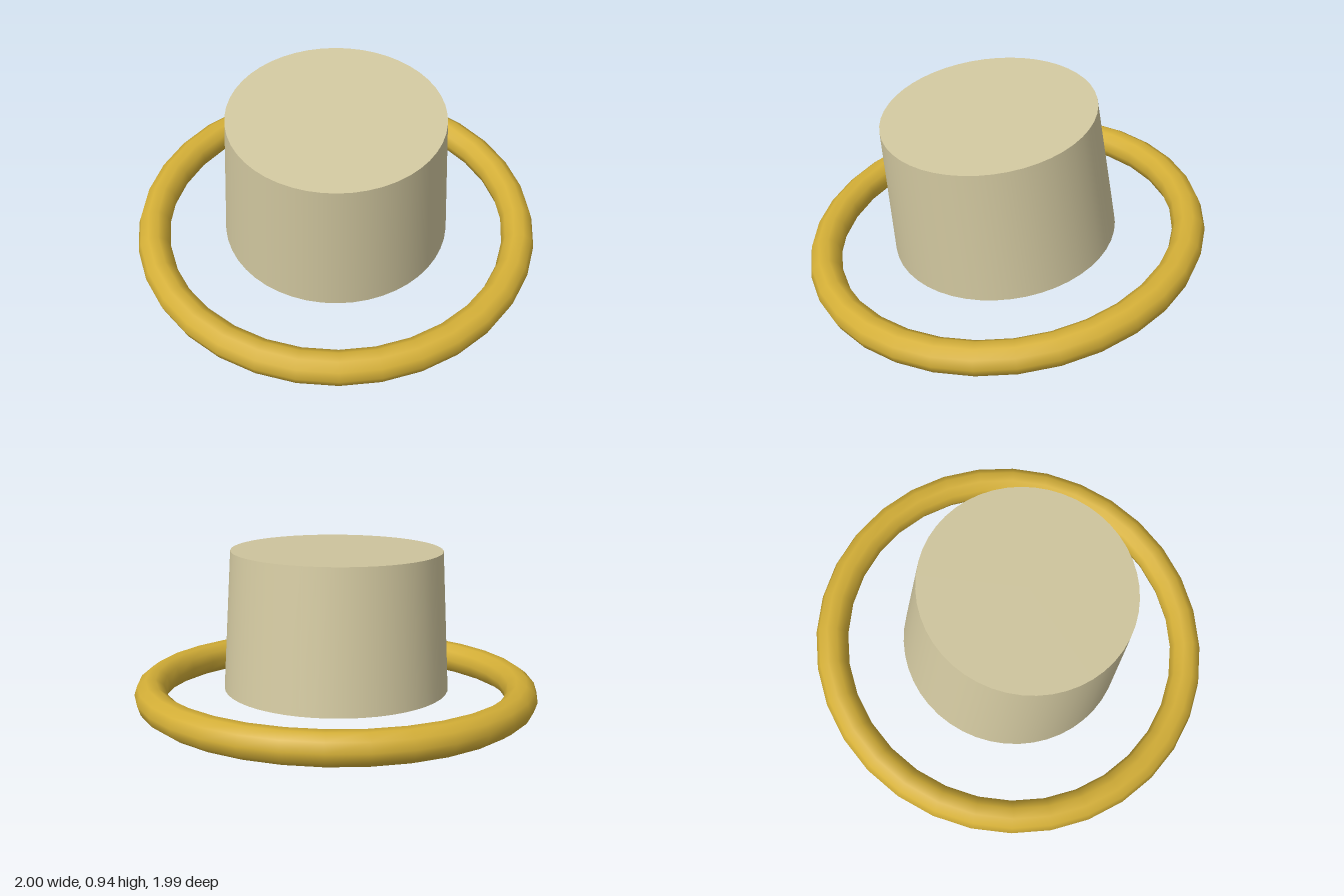
import * as THREE from 'three';

export function createModel() {
  const crownMaterial = new THREE.MeshStandardMaterial({ color: 0xd2c8a0 });
  crownMaterial.name = 'pale khaki';
  const ringMaterial = new THREE.MeshStandardMaterial({ color: 0xd4af37 });
  ringMaterial.name = 'gold';

  // Whole hat leans gently forward
  const hat = new THREE.Group();
  hat.name = 'tiltedHat';
  hat.position.y = 0.184;
  hat.rotation.x = 0.115;

  // Brim ring: ten-sided tube, lying flat
  const ringGeometry = new THREE.TorusGeometry(0.92, 0.08, 10, 32);
  ringGeometry.rotateX(Math.PI / 2);
  const ring = new THREE.Mesh(ringGeometry, ringMaterial);
  ring.name = 'brimRing';
  hat.add(ring);

  // Crown: closed, slightly tapered drum inside the ring
  const bottom = 0.015, top = 0.703;
  const crown = new THREE.Mesh(
    new THREE.CylinderGeometry(0.52, 0.558, top - bottom, 48),
    crownMaterial
  );
  crown.name = 'crown';
  crown.position.y = (top + bottom) / 2;
  hat.add(crown);

  const model = new THREE.Group();
  model.name = 'hat';
  model.add(hat);
  return model;
}
